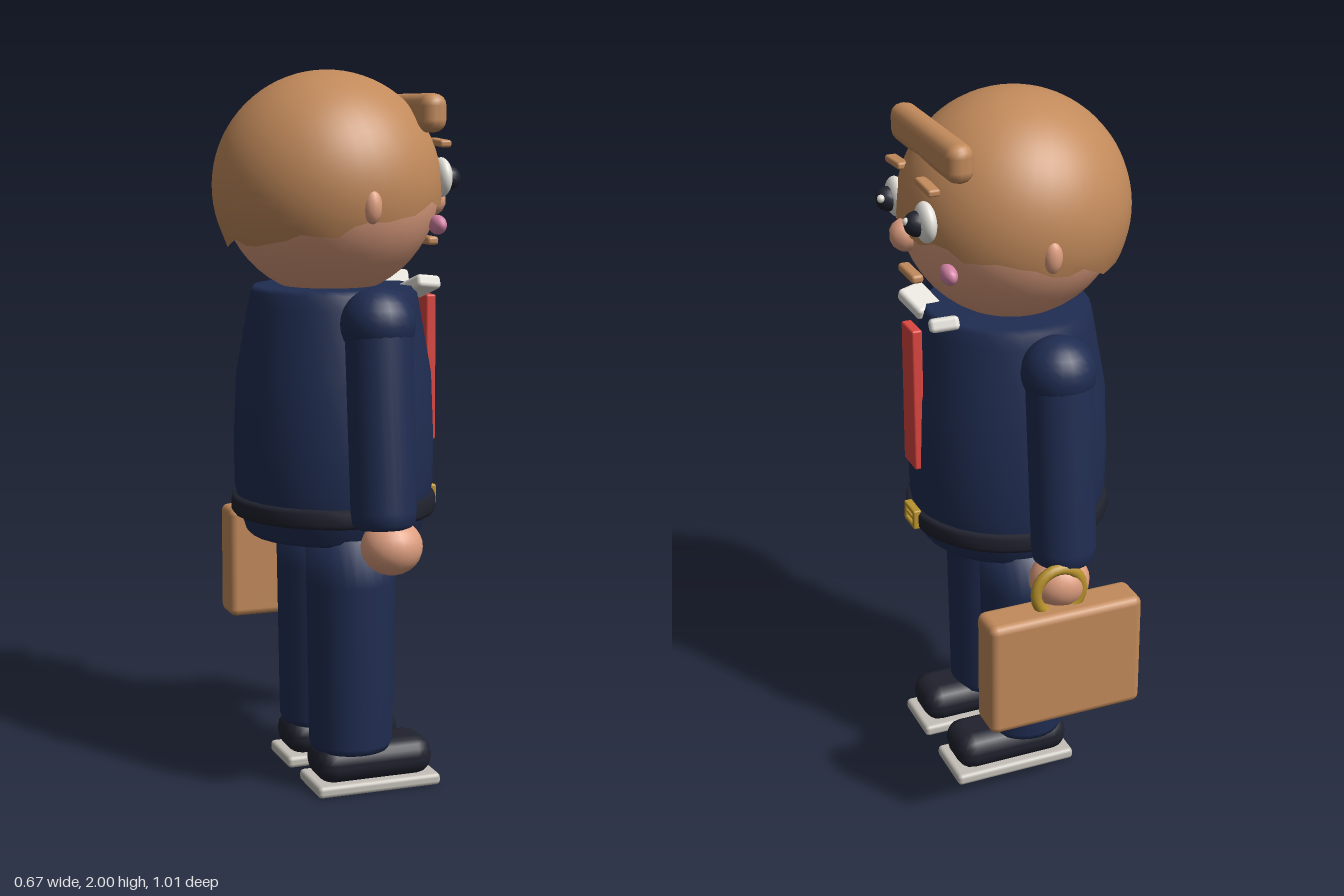
import * as THREE from 'three';
import { RoundedBoxGeometry } from 'three/addons/geometries/RoundedBoxGeometry.js';

const mat = (name, color, side = THREE.FrontSide) => {
  const m = new THREE.MeshStandardMaterial({ color, side });
  m.name = name;
  return m;
};

export function createModel() {
  const skin = mat('skin', 0xdf9f80);
  const tan = mat('tan hair and leather', 0xc28a5b, THREE.DoubleSide);
  const navy = mat('navy suit', 0x202d52);
  const black = mat('black', 0x20222e);
  const white = mat('white', 0xe6e3dc);
  const red = mat('red', 0xdc4641);
  const gold = mat('gold', 0xb8922c);
  const pink = mat('pink', 0xd584a6);
  const grey = mat('sole grey', 0xc4c0b8);

  const model = new THREE.Group();
  model.name = 'businessman';
  // The figure looks along +x; its plane of symmetry is z = 0.013
  const body = new THREE.Group();
  body.name = 'figure';
  body.position.z = 0.013;
  model.add(body);

  const add = (name, geometry, material, x, y, z, parent = body) => {
    const m = new THREE.Mesh(geometry, material);
    m.name = name;
    m.position.set(x, y, z);
    parent.add(m);
    return m;
  };
  const ball = (name, material, x, y, z, rx, ry = rx, rz = rx, seg = 20) =>
    add(name, new THREE.SphereGeometry(1, seg, Math.ceil(seg * 0.7)).scale(rx, ry, rz), material, x, y, z);
  const block = (name, material, x, y, z, w, h, d, r, parent = body) =>
    add(name, new RoundedBoxGeometry(w, h, d, 2, r), material, x, y, z, parent);
  const lathe = (points) => new THREE.LatheGeometry(points.map(([r, y]) => new THREE.Vector2(r, y)), 28);

  // Head with a hair cap whose lower rim waves a little
  ball('head', skin, -0.012, 1.686, 0, 0.303, 0.303, 0.303, 36);
  const cap = new THREE.SphereGeometry(0.317, 40, 22, 0, Math.PI * 2, 0, 1.87);
  const p = cap.attributes.position;
  for (let i = 0; i <= 40; i++) {
    const k = 22 * 41 + i;
    const a = (i % 40) / 40 * Math.PI * 2;
    p.setY(k, p.getY(k) + 0.009 * Math.sin(a * 9) + 0.006 * Math.sin(a * 14));
  }
  add('hair', cap, tan, -0.02, 1.685, 0).rotation.z = 0.2;
  block('fringe', tan, 0.213, 1.885, 0, 0.075, 0.105, 0.46, 0.034);

  // Face
  for (const s of [1, -1]) {
    ball('eyeWhite', white, 0.274, 1.71, s * 0.112, 0.027, 0.055, 0.054);
    ball('pupil', black, 0.298, 1.708, s * 0.108, 0.034, 0.034, 0.034, 12);
    ball('eyeGlint', white, 0.325, 1.718, s * 0.098 - 0.012, 0.011, 0.011, 0.011, 8);
    block('eyebrow', tan, 0.267, 1.805, s * 0.113, 0.034, 0.02, 0.105, 0.007).rotation.x = s * 0.06;
    ball('cheek', pink, 0.238, 1.584, s * 0.178, 0.022, 0.027, 0.041, 12);
    ball('ear', skin, 0, 1.642, s * 0.305, 0.026, 0.046, 0.024, 12);
  }
  ball('nose', skin, 0.29, 1.642, 0, 0.044, 0.045, 0.046, 10);
  block('mouth', tan, 0.277, 1.532, 0, 0.034, 0.024, 0.115, 0.009);

  // Jacket
  add('jacket', lathe([[0, 0.715], [0.235, 0.715], [0.247, 0.725], [0.268, 0.79], [0.28, 0.86],
    [0.282, 0.98], [0.274, 1.17], [0.24, 1.36], [0.232, 1.4], [0.222, 1.414], [0, 1.414]]), navy, 0, 0, 0);
  add('belt', lathe([[0.25, 0.775], [0.284, 0.775], [0.29, 0.786], [0.29, 0.817], [0.284, 0.828], [0.25, 0.828]]), black, 0, 0, 0);
  for (const s of [1, -1]) {
    block('buckleBar', gold, 0.288, 0.805 + s * 0.022, 0, 0.024, 0.014, 0.08, 0.005);
    block('buckleSide', gold, 0.288, 0.805, s * 0.033, 0.024, 0.056, 0.014, 0.005);
    const collar = block('collarTip', white, 0.22, 1.41, s * 0.092, 0.08, 0.038, 0.105, 0.012);
    collar.rotation.set(s * -0.4, s * 0.3, 0);
  }
  block('bucklePin', gold, 0.288, 0.805, 0, 0.02, 0.01, 0.06, 0.004);

  // Tie, slightly wider at its foot
  const tie = new RoundedBoxGeometry(0.03, 0.415, 0.088, 2, 0.006);
  const t = tie.attributes.position;
  for (let i = 0; i < t.count; i++) t.setZ(i, t.getZ(i) * (1 - 0.15 * t.getY(i)));
  add('tie', tie, red, 0.278, 1.173, 0);

  // Arms and legs, mirrored
  for (const s of [1, -1]) {
    ball('shoulder', navy, 0, 1.338, s * 0.348, 0.1, 0.098, 0.1);
    const arm = add('sleeve', lathe([[0, -0.275], [0.07, -0.275], [0.084, -0.262], [0.088, -0.23],
      [0.09, 0.24], [0.075, 0.275], [0, 0.275]]), navy, 0, 1.075, s * 0.374);
    arm.rotation.x = s * -0.085;
    ball('hand', skin, 0.018, 0.752, s * 0.408, 0.083, 0.076, 0.081);

    add('trouserLeg', lathe([[0, 0.112], [0.085, 0.112], [0.109, 0.12], [0.118, 0.14],
      [0.125, 0.6], [0.127, 0.735], [0, 0.735]]), navy, 0.004, 0, s * 0.132);
    block('shoe', black, 0.06, 0.083, s * 0.135, 0.345, 0.11, 0.165, 0.05);
    block('sole', grey, 0.062, 0.018, s * 0.135, 0.366, 0.034, 0.178, 0.012);
  }

  // Briefcase
  const briefcase = new THREE.Group();
  briefcase.name = 'briefcase';
  briefcase.position.set(0.038, 0.538, -0.447);
  model.add(briefcase);
  block('case', tan, 0, 0, 0, 0.446, 0.336, 0.114, 0.022, briefcase);
  add('handle', new THREE.TorusGeometry(0.067, 0.016, 8, 24), gold, 0.006, 0.212, -0.004, briefcase);

  return model;
}
